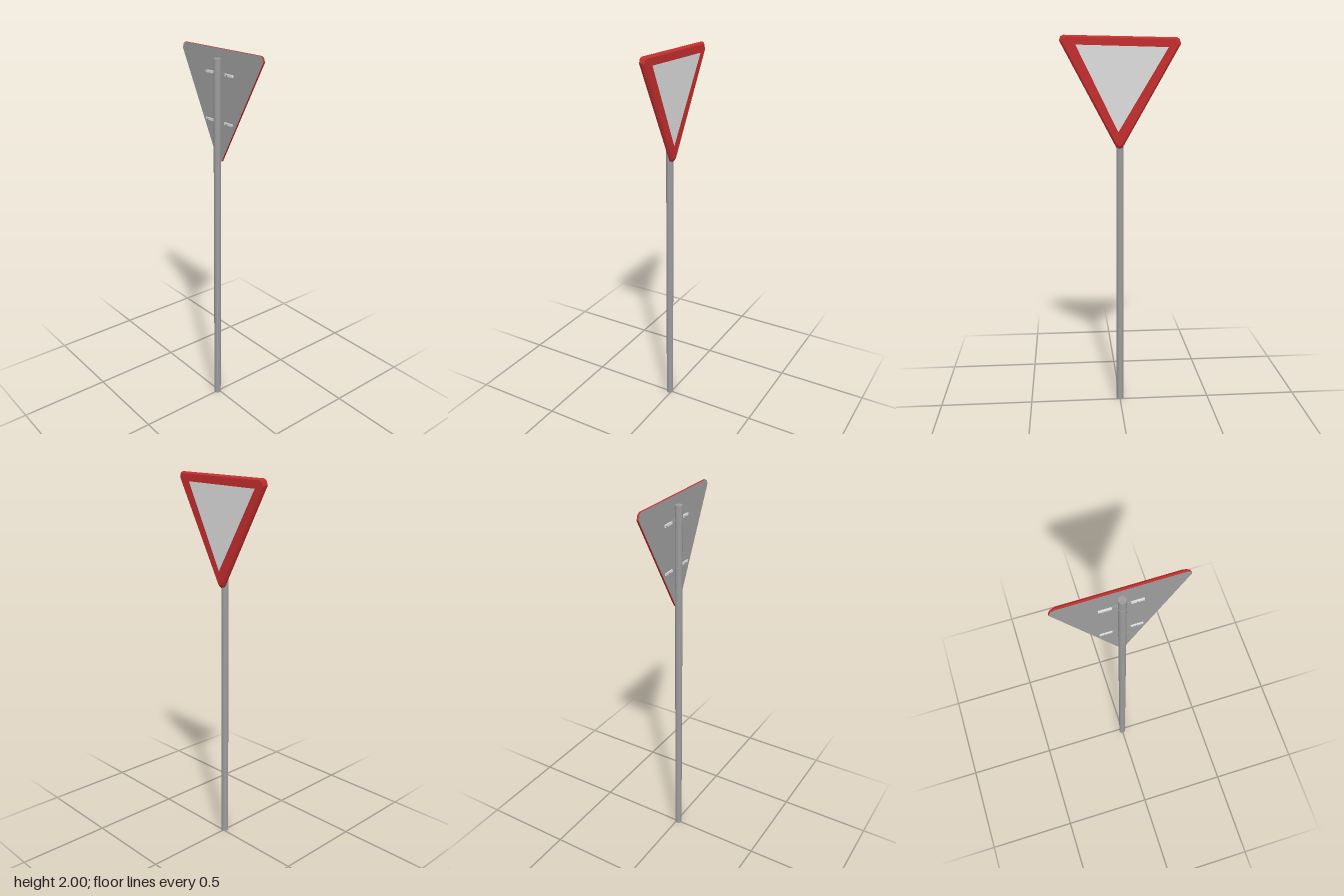
import * as THREE from 'three';

const mat = (name, color) => {
  const m = new THREE.MeshStandardMaterial({ color });
  m.name = name;
  return m;
};

// Outlines as [u, y], counter-clockwise seen from +x, where u = -z
const OUTLINE = [
  [0.286, 1.988], [-0.286, 1.999], [-0.299, 1.993], [-0.307, 1.973],
  [-0.021, 1.435], [-0.006, 1.428], [0.011, 1.432],
  [0.307, 1.957], [0.299, 1.98],
];
const PANEL = [[0.243, 1.94], [-0.226, 1.952], [-0.011, 1.515]];
const CENTRE = [0, 1.8];
const BASE_Y = 1.43;

const inset = (pts, s) => pts.map(([u, y]) => [
  CENTRE[0] + (u - CENTRE[0]) * s, CENTRE[1] + (y - CENTRE[1]) * s]);

// Flat face at depth x, turned to +x (side 1) or -x (side -1)
function face(pts, x, side) {
  const shape = new THREE.Shape(pts.map(([u, y]) => new THREE.Vector2(u * side, y - BASE_Y)));
  return new THREE.ShapeGeometry(shape).rotateY(side * Math.PI / 2).translate(x, 0, 0);
}

// Walls joining successive outlines from back to front
function walls(rings) {
  const pos = [];
  for (let k = 0; k < rings.length - 1; k++) {
    const n = rings[k].pts.length;
    for (let i = 0; i < n; i++) {
      const j = (i + 1) % n;
      const at = (r, q) => [r.x, r.pts[q][1] - BASE_Y, -r.pts[q][0]];
      const a = at(rings[k], i), b = at(rings[k], j);
      const c = at(rings[k + 1], j), d = at(rings[k + 1], i);
      pos.push(...a, ...b, ...c, ...a, ...c, ...d);
    }
  }
  const g = new THREE.BufferGeometry();
  g.setAttribute('position', new THREE.Float32BufferAttribute(pos, 3));
  g.computeVertexNormals();
  return g;
}

export function createModel() {
  const grey = mat('galvanised grey', 0x9c9c9c);
  const red = mat('sign red', 0xc42e2e);
  const white = mat('sign white', 0xdedede);

  const model = new THREE.Group();
  model.name = 'yieldSign';
  const add = (parent, name, geometry, material, x = 0, y = 0, z = 0) => {
    const m = new THREE.Mesh(geometry, material);
    m.name = name;
    m.position.set(x, y, z);
    parent.add(m);
    return m;
  };

  // Pole
  const poleX = -0.0105;
  add(model, 'pole', new THREE.CylinderGeometry(0.0187, 0.0187, 1.95, 32), grey, poleX, 0.975, 0);

  // Triangular sign, leaning slightly forward
  const sign = new THREE.Group();
  sign.name = 'sign';
  sign.position.y = BASE_Y;
  sign.rotation.z = -0.0175;
  model.add(sign);
  const front = inset(OUTLINE, 0.955);
  add(sign, 'rim', walls([
    { x: 0, pts: OUTLINE }, { x: 0.01, pts: OUTLINE }, { x: 0.02, pts: front },
  ]), red);
  add(sign, 'border', face(front, 0.02, 1), red);
  add(sign, 'panel', face(PANEL, 0.021, 1), white);
  add(sign, 'back', face(OUTLINE, 0, -1), grey);

  // Two clamps holding the sign to the pole
  [1.637, 1.875].forEach((y, i) => {
    const clamp = new THREE.Group();
    clamp.name = i ? 'upperClamp' : 'lowerClamp';
    clamp.position.y = y;
    clamp.rotation.x = -0.02;
    model.add(clamp);
    add(clamp, 'collar', new THREE.CylinderGeometry(0.0198, 0.0198, 0.012, 32), grey, poleX);
    add(clamp, 'strap', new THREE.BoxGeometry(0.005, 0.01, 0.1), grey, 0.0045);
    for (const s of [-1, 1]) {
      add(clamp, 'arm', new THREE.BoxGeometry(0.008, 0.012, 0.06), white, 0.002, 0, s * 0.073);
      const z = s > 0 ? 0.069 : (i ? -0.098 : -0.082);
      const shank = new THREE.CylinderGeometry(0.002, 0.002, 0.008, 8).rotateZ(Math.PI / 2);
      add(clamp, 'boltShank', shank, grey, -0.005, 0, z);
      const head = new THREE.CylinderGeometry(0.004, 0.004, 0.003, 6).rotateZ(Math.PI / 2);
      add(clamp, 'boltHead', head, grey, -0.0085, 0, z);
    }
  });

  return model;
}
